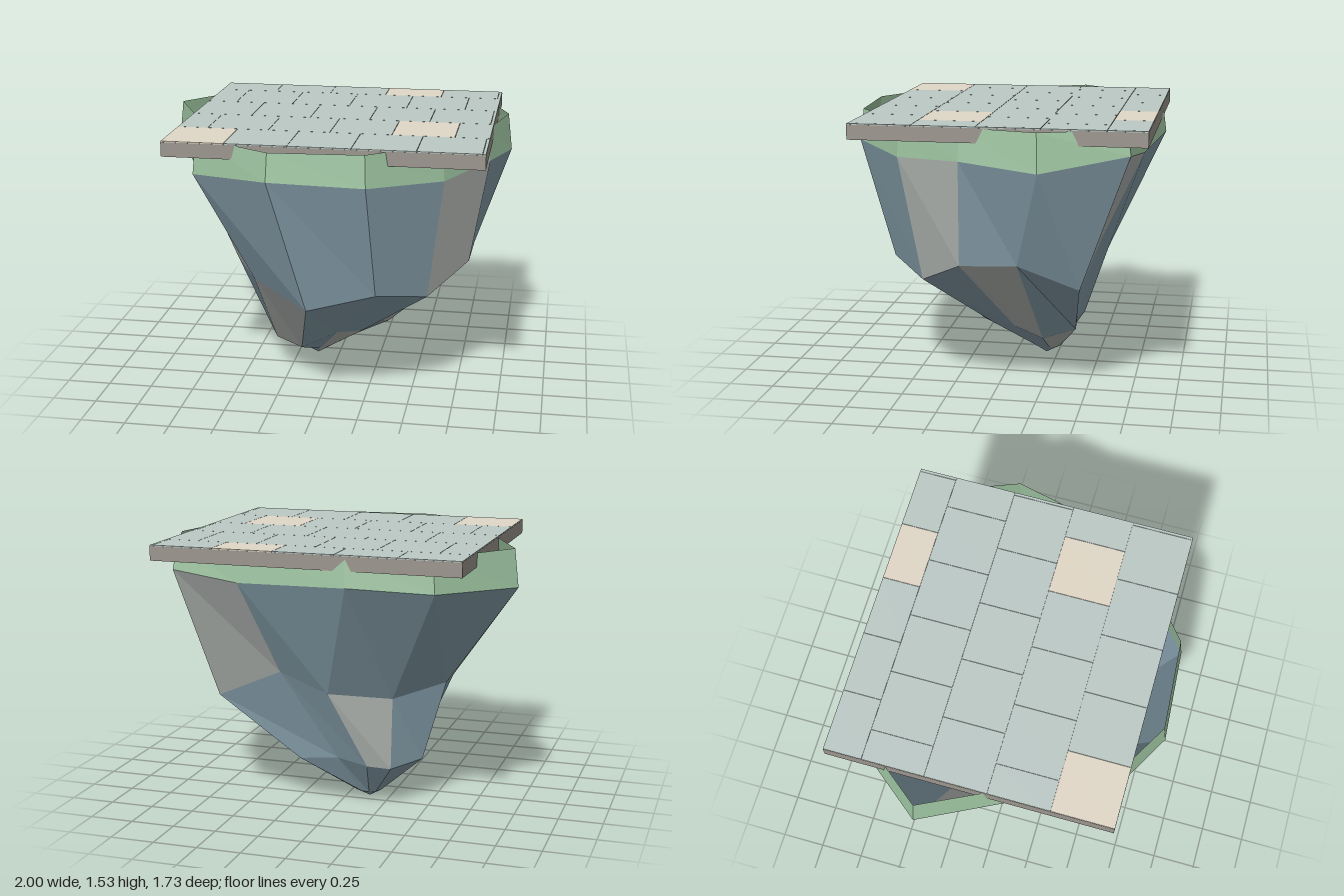
import * as THREE from 'three';

const flat = (color, name, side = THREE.FrontSide) => {
  const m = new THREE.MeshStandardMaterial({ color, side, flatShading: true });
  m.name = name;
  return m;
};

// Cross-sections of the island, running from the left side round the front: [x, y, z]
const rimBase = [
  [1, 1.31, -0.29], [0.9, 1.345, 0.14], [0.68, 1.32, 0.52], [0.3, 1.345, 0.83],
  [-0.22, 1.365, 0.865], [-0.68, 1.32, 0.6], [-0.78, 1.33, 0.14], [-1, 1.31, -0.31],
  [-0.65, 1.33, -0.75], [-0.2, 1.36, -0.865], [0.43, 1.34, -0.79], [0.82, 1.385, -0.75],
];
const waist = [
  [0.81, 0.775, -0.155], [0.8, 0.76, 0.16], [0.59, 0.62, 0.41], [0.33, 0.685, 0.63],
  [-0.05, 0.585, 0.655], [-0.38, 0.69, 0.46], [-0.55, 0.69, 0.12], [-0.59, 0.73, -0.22],
  [-0.33, 0.66, -0.41], [0, 0.7, -0.56], [0.285, 0.8, -0.54], [0.68, 0.62, -0.475],
];
const foot = [
  [0.3, 0.22, -0.22], [0.26, 0.275, -0.05], [0.18, 0.27, 0.1], [0.05, 0.29, 0.2],
  [-0.16, 0.185, 0.21], [-0.33, 0.2, 0.1], [-0.35, 0.33, 0], [-0.45, 0.26, -0.2],
  [-0.31, 0.235, -0.37], [-0.18, 0.25, -0.405], [0, 0.28, -0.385], [0.22, 0.26, -0.4],
];
const sides = rimBase.length;
const rimTop = rimBase.map(([x, , z]) => [x * 0.975, 1.52, z * 0.975]);
const tipRing = rimBase.map((_, i) => {
  const a = ((i * 30 - 15) * Math.PI) / 180;
  return [-0.13 + 0.08 * Math.cos(a), 0.05, -0.19 + 0.08 * Math.sin(a)];
});
const tip = rimBase.map(() => [-0.13, 0, -0.18]);

// Faceted band between two loops; listed segments use the second material
function band(name, upper, lower, materials, accents = []) {
  const pos = [];
  const geo = new THREE.BufferGeometry();
  for (let i = 0; i < sides; i++) {
    const j = (i + 1) % sides;
    pos.push(...upper[i], ...upper[j], ...lower[i]);
    pos.push(...upper[j], ...lower[j], ...lower[i]);
    geo.addGroup(i * 6, 6, accents.includes(i) ? 1 : 0);
  }
  geo.setAttribute('position', new THREE.Float32BufferAttribute(pos, 3));
  geo.computeVertexNormals();
  const mesh = new THREE.Mesh(geo, materials);
  mesh.name = name;
  return mesh;
}

function box(name, x0, x1, y0, y1, z0, z1, material) {
  const mesh = new THREE.Mesh(new THREE.BoxGeometry(x1 - x0, y1 - y0, z1 - z0), material);
  mesh.position.set((x0 + x1) / 2, (y0 + y1) / 2, (z0 + z1) / 2);
  mesh.name = name;
  return mesh;
}

export function createModel() {
  const grass = flat(0x9dc3a0, 'grass green', THREE.DoubleSide);
  const blueRock = flat(0x869fab, 'blue rock', THREE.DoubleSide);
  const greyRock = flat(0xb3b8b4, 'grey rock', THREE.DoubleSide);
  const stone = flat(0x9b958d, 'slab stone');
  const tile = flat(0xbbc9c5, 'tile grey');
  const sand = flat(0xe0d7c6, 'tile sand');
  const model = new THREE.Group();
  model.name = 'floatingIsland';

  // Open-topped rock with a grassy rim
  const rocks = [blueRock, greyRock];
  const island = new THREE.Group();
  island.name = 'island';
  island.add(
    band('grassRim', rimTop, rimBase, [grass]),
    band('upperRock', rimBase, waist, rocks, [1, 5, 6, 10]),
    band('lowerRock', waist, foot, rocks, [0, 4, 8]),
    band('footRock', foot, tipRing, rocks, [2, 11]),
    band('rockTip', tipRing, tip, rocks, [2]),
  );
  model.add(island);

  // Paved platform
  const [x0, x1, z0, z1] = [-0.815, 0.908, -0.845, 0.73];
  model.add(box('platform', x0, x1, 1.445, 1.524, z0, z1, stone));

  // Paving in staggered rows, trimmed to the platform edges
  const paving = new THREE.Group();
  paving.name = 'paving';
  const size = 0.341, gap = 0.001;
  const sandTiles = ['0,0', '1,4', '4,3'];
  for (let row = 0; row < 5; row++) {
    const back = Math.max(z0, z1 - (row + 1) * size);
    const front = z1 - row * size;
    const start = x0 - (row % 2 ? size / 2 : 0);
    for (let col = 0; col < 6; col++) {
      const left = Math.max(x0, start + col * size);
      const right = Math.min(x1, start + (col + 1) * size);
      if (right - left < 0.005) continue;
      const material = sandTiles.includes(`${row},${col}`) ? sand : tile;
      paving.add(box('tile', left + gap, right - gap, 1.524, 1.53, back + gap, front - gap, material));
    }
  }
  model.add(paving);
  return model;
}
